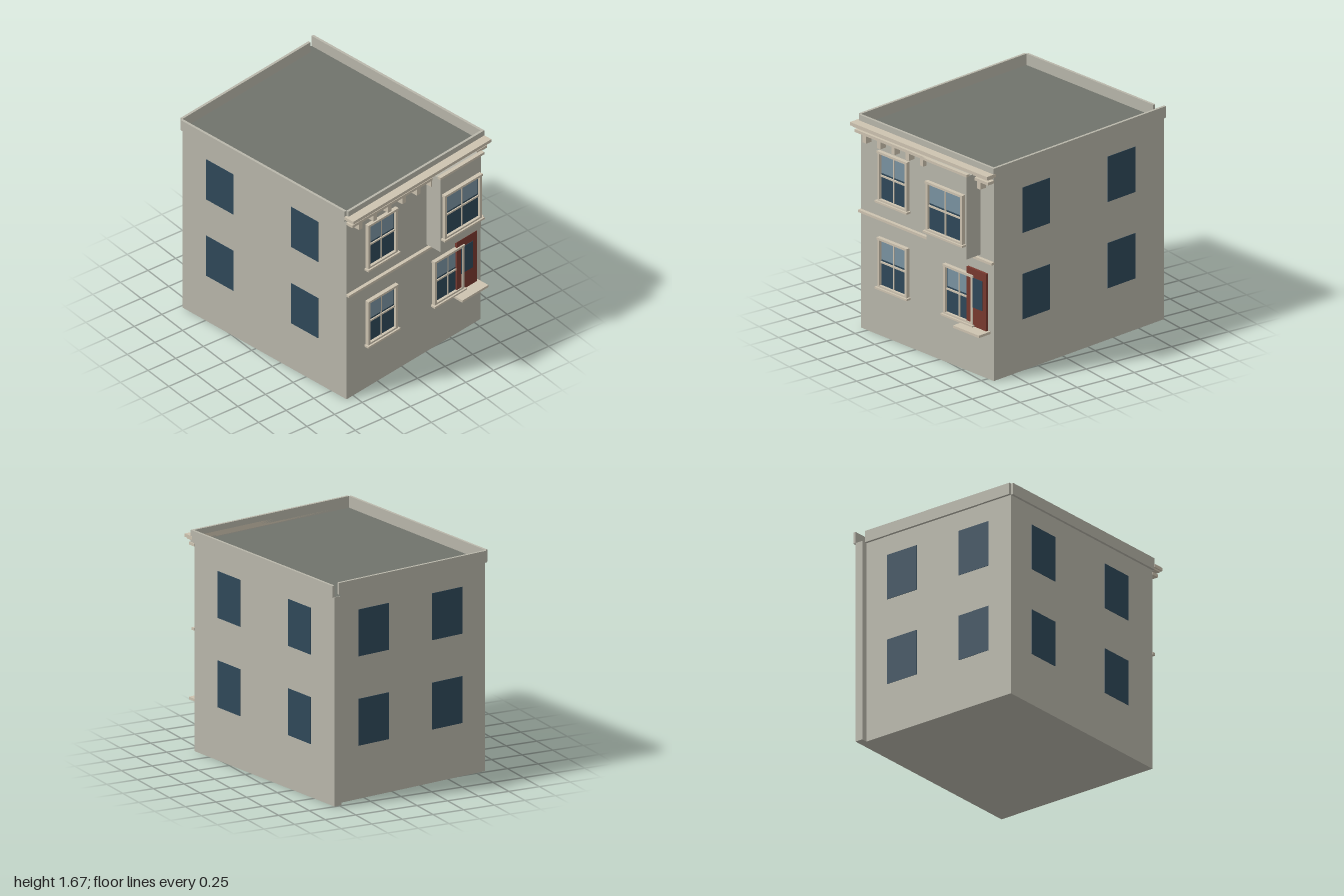
import * as THREE from 'three';

const mat = (color) => new THREE.MeshStandardMaterial({ color });

export function createModel() {
  const wall = mat(0xb8b6aa), trim = mat(0xcdc3b0), roofMat = mat(0x70736c);
  const glass = mat(0x2f4859), paleGlass = mat(0x7a93a1), red = mat(0x78392f);
  const model = new THREE.Group();
  model.name = 'townHouse';

  // Wall planes in the house's own frame
  const L = -0.703, R = 0.692, F = 0.8, B = -0.85, FIN = -0.9, H = 1.585;

  // Box given by its min and max along each axis
  function box(name, m, x0, x1, y0, y1, z0, z1, parent = model) {
    const mesh = new THREE.Mesh(new THREE.BoxGeometry(x1 - x0, y1 - y0, z1 - z0), m);
    mesh.position.set((x0 + x1) / 2, (y0 + y1) / 2, (z0 + z1) / 2);
    mesh.name = name;
    parent.add(mesh);
    return mesh;
  }

  // Main block: footprint with a small fin at the back left corner
  const plan = new THREE.Shape([[L, F], [R, F], [R, FIN], [0.63, FIN], [0.63, B], [L, B]]
    .map(([x, z]) => new THREE.Vector2(x, -z)));
  const walls = new THREE.Mesh(
    new THREE.ExtrudeGeometry(plan, { depth: H, bevelEnabled: false }).rotateX(-Math.PI / 2), wall);
  walls.name = 'walls';
  model.add(walls);
  const roof = new THREE.Mesh(new THREE.ShapeGeometry(plan).rotateX(-Math.PI / 2), roofMat);
  roof.position.y = H + 0.002;
  roof.name = 'roof';
  model.add(roof);

  // Parapets just outside the wall planes, open at the corners
  const top = 1.675, t = 0.02;
  box('parapetFront', wall, L, R + t, H, top, F, F + t);
  box('parapetBack', wall, L, 0.63, H, top, B - t, B);
  box('parapetRight', wall, L - t, L, H, top, B, F);
  box('parapetLeft', wall, R, R + t, H, top, FIN, F);

  // Cornice, brackets and the band between the floors
  box('corniceTop', trim, L - 0.022, R + 0.021, 1.605, 1.63, F, 0.89);
  box('corniceMiddle', trim, L - 0.01, R + 0.01, 1.593, 1.605, F, 0.875);
  box('corniceLower', trim, L - 0.003, R + 0.003, 1.55, 1.572, F, 0.862);
  for (let i = 0; i < 9; i++) {
    const x = -0.61 + i * 0.15;
    box('bracket', trim, x - 0.018, x + 0.018, 1.49, 1.55, F, 0.855);
  }
  box('bandCourse', trim, L - 0.003, R + 0.005, 0.913, 0.932, F, 0.828);

  // Sash window: cx centre, w glass width, y0 bottom of the glass, z wall plane
  function sashWindow(cx, w, y0, z) {
    const g = new THREE.Group();
    g.name = 'sashWindow';
    model.add(g);
    const h = 0.355, a = cx - w / 2, b = cx + w / 2, y1 = y0 + h, mid = y0 + h / 2;
    const part = (name, m, x0, x1, yy0, yy1, d) => box(name, m, x0, x1, yy0, yy1, z, z + d, g);
    part('lowerGlass', glass, a, b, y0, y1, 0.006);
    part('upperGlass', paleGlass, a + 0.005, b - 0.005, mid + 0.025, y1 - 0.004, 0.009);
    part('meetingRail', trim, a, b, mid - 0.003, mid + 0.01, 0.016);
    part('glazingBar', trim, cx - 0.005, cx + 0.005, y0, y1, 0.013);
    part('leftStile', trim, b, b + 0.02, y0 - 0.015, y1, 0.028);
    part('rightStile', trim, a - 0.02, a, y0 - 0.015, y1, 0.028);
    part('bottomRail', trim, a, b, y0 - 0.015, y0, 0.028);
    part('lintel', trim, a - 0.024, b + 0.024, y1, y1 + 0.018, 0.032);
    part('sill', trim, a - 0.034, b + 0.034, y0 - 0.029, y0 - 0.014, 0.042);
  }
  const lowY = 0.403, highY = 1.08;
  sashWindow(-0.35, 0.267, lowY, F);
  sashWindow(-0.35, 0.267, highY, F);
  sashWindow(0.342, 0.267, lowY, F);

  // Projecting bay on the upper floor
  box('bay', wall, 0.13, 0.553, 0.95, 1.6, F, 0.94);
  box('bayCap', trim, 0.115, 0.57, 1.603, 1.622, 0.925, 0.957);
  sashWindow(0.342, 0.345, highY, 0.94);

  // Front door and step
  box('door', red, 0.425, 0.633, 0.375, 0.825, F, 0.82);
  box('doorGlass', glass, 0.47, 0.592, 0.525, 0.757, F, 0.824);
  box('doorStep', trim, 0.385, 0.656, 0.358, 0.377, F, 0.915);

  // Plain panes on the side and back walls
  const e = 0.003, half = 0.137;
  for (const y of [lowY, highY]) {
    for (const z of [0.379, -0.473]) {
      box('sidePane', glass, R - e, R + e, y, y + 0.355, z - half, z + half);
      box('sidePane', glass, L - e, L + e, y, y + 0.355, z - half, z + half);
    }
    for (const x of [0.303, -0.36])
      box('backPane', glass, x - half, x + half, y, y + 0.355, B - e, B + e);
  }

  // The whole house stands turned on its plot
  model.rotation.y = 0.159;
  const group = new THREE.Group();
  group.name = 'house';
  group.add(model);
  return group;
}
